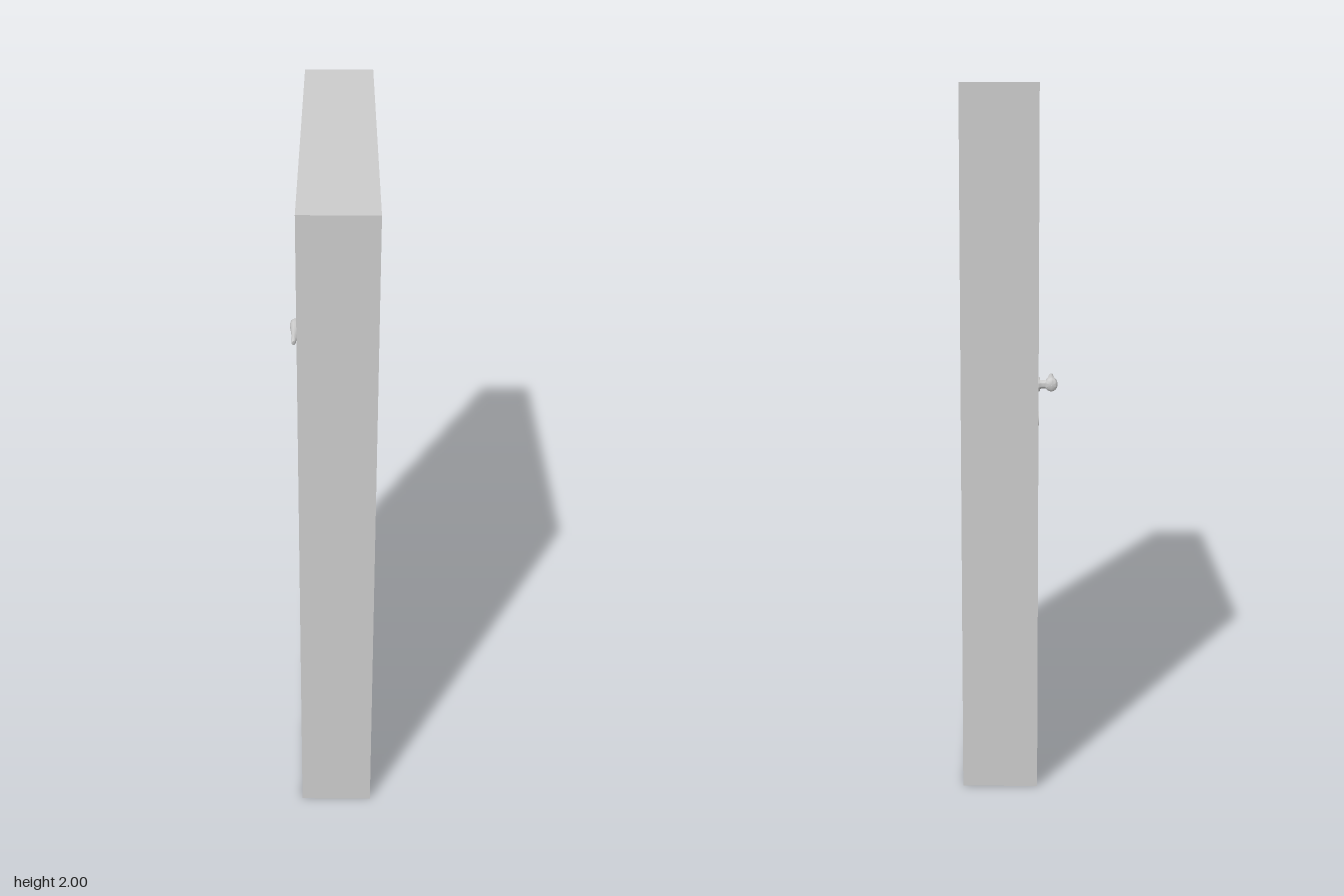
import * as THREE from 'three';
import { toCreasedNormals } from 'three/addons/utils/BufferGeometryUtils.js';

const grey = new THREE.MeshStandardMaterial({ color: 0xcccccc });
const FRONT = -0.08, BACK = 0.135;           // frame faces along x
const DOOR_FRONT = -0.062, DOOR_BACK = 0.117; // recessed door faces
const LOCK_Z = -0.455, LEVER_Y = 1.165, KEY_Y = 1.067;

function add(parent, name, geometry) {
  const mesh = new THREE.Mesh(geometry, grey);
  mesh.name = name;
  parent.add(mesh);
  return mesh;
}

// Rectangle outline in the z-y plane, with optional rounded corners
function rect(Type, z0, z1, y0, y1, r = 0) {
  const s = new Type();
  if (!r) {
    return s.moveTo(z0, y0).lineTo(z1, y0).lineTo(z1, y1).lineTo(z0, y1).closePath();
  }
  s.absarc(z1 - r, y0 + r, r, -Math.PI / 2, 0);
  s.absarc(z1 - r, y1 - r, r, 0, Math.PI / 2);
  s.absarc(z0 + r, y1 - r, r, Math.PI / 2, Math.PI);
  s.absarc(z0 + r, y0 + r, r, Math.PI, Math.PI * 1.5);
  return s.closePath();
}

// Extrude a z-y shape from xBack towards -x
function slab(shape, xBack, depth, bevel = 0) {
  const g = new THREE.ExtrudeGeometry(shape, {
    depth: depth - bevel, curveSegments: 8, bevelEnabled: bevel > 0,
    bevelSize: bevel, bevelThickness: bevel, bevelOffset: -bevel, bevelSegments: 3,
  });
  g.rotateY(-Math.PI / 2).translate(xBack, 0, 0);
  return bevel ? toCreasedNormals(g, 0.6) : g;
}

// Turned part on an axis along x; profile points are [radius, distance out from x0]
function turned(profile, x0, y, z) {
  const g = new THREE.LatheGeometry(profile.map(([r, d]) => new THREE.Vector2(r, d)), 32);
  g.rotateZ(Math.PI / 2).translate(x0, y, z);
  return toCreasedNormals(g, 0.6);
}

// Tapering lever lofted through elliptical sections [z, xCentre, rx, ry, skew]
function leverGeometry() {
  const sections = [
    [-0.466, -0.117, 0.0005, 0.0005, 0], [-0.465, -0.117, 0.012, 0.012, 0],
    [-0.461, -0.117, 0.017, 0.018, 0], [-0.452, -0.117, 0.0185, 0.02, 0],
    [-0.435, -0.117, 0.018, 0.0195, 0], [-0.41, -0.1175, 0.0145, 0.017, 0],
    [-0.38, -0.118, 0.011, 0.014, 0], [-0.35, -0.1185, 0.0085, 0.0115, 0],
    [-0.322, -0.119, 0.007, 0.0095, 0.5], [-0.319, -0.119, 0.0055, 0.008, 0.6],
    [-0.318, -0.119, 0.0002, 0.0002, 0.6],
  ];
  const n = 24, pos = [], index = [];
  sections.forEach(([z, xc, rx, ry, skew], i) => {
    for (let j = 0; j < n; j++) {
      const a = (j / n) * Math.PI * 2, dx = rx * Math.cos(a);
      pos.push(xc + dx, LEVER_Y + ry * Math.sin(a), z - skew * dx);
      if (i === sections.length - 1) continue;
      const p = i * n + j, q = i * n + (j + 1) % n;
      index.push(p, q, p + n, q, q + n, p + n);
    }
  });
  const g = new THREE.BufferGeometry();
  g.setAttribute('position', new THREE.Float32BufferAttribute(pos, 3));
  g.setIndex(index);
  return toCreasedNormals(g, 0.8);
}

export function createModel() {
  const model = new THREE.Group();
  model.name = 'door';

  // Frame with a through opening
  const outline = rect(THREE.Shape, -0.583, 0.583, 0, 2);
  outline.holes.push(rect(THREE.Path, -0.518, 0.518, 0.117, 1.891));
  add(model, 'frame', slab(outline, BACK, BACK - FRONT));

  // Door leaf, resting on the sill with a narrow gap around the other sides
  add(model, 'doorLeaf', slab(rect(THREE.Shape, -0.507, 0.507, 0.117, 1.883),
    DOOR_BACK, DOOR_BACK - DOOR_FRONT));

  // Hinges, two knuckles each
  for (const y of [0.44, 1.39]) {
    const hinge = new THREE.Group();
    hinge.name = 'hinge';
    for (const side of [-1, 1]) {
      const knuckle = new THREE.CylinderGeometry(0.011, 0.011, 0.059, 20);
      knuckle.translate(-0.068, y + side * 0.0303, 0.512);
      add(hinge, 'hingeKnuckle', knuckle);
    }
    model.add(hinge);
  }

  // Rounded cover plates behind the lever and the lock
  const plate = (y) => slab(rect(THREE.Shape, LOCK_Z - 0.038, LOCK_Z + 0.038,
    y - 0.038, y + 0.038, 0.024), DOOR_FRONT - 0.003, 0.013, 0.003);

  // Handle: plate, collar and neck, lever
  const handle = new THREE.Group();
  handle.name = 'handle';
  add(handle, 'handlePlate', plate(LEVER_Y));
  add(handle, 'handleNeck', turned([[0.021, 0], [0.021, 0.021], [0.019, 0.0235],
    [0.013, 0.0235], [0.012, 0.03], [0.0125, 0.045]], DOOR_FRONT, LEVER_Y, LOCK_Z + 0.006));
  add(handle, 'lever', leverGeometry());
  model.add(handle);

  // Lock: plate, cylinder face and keyhole slot
  const lock = new THREE.Group();
  lock.name = 'lock';
  add(lock, 'lockPlate', plate(KEY_Y));
  const face = new THREE.Shape().absarc(LOCK_Z, KEY_Y, 0.02, 0, Math.PI * 2);
  face.holes.push(rect(THREE.Path, LOCK_Z - 0.003, LOCK_Z + 0.003,
    KEY_Y - 0.012, KEY_Y + 0.012, 0.0029));
  add(lock, 'lockCylinder', toCreasedNormals(slab(face, DOOR_FRONT, 0.021), 0.6));
  model.add(lock);

  return model;
}
